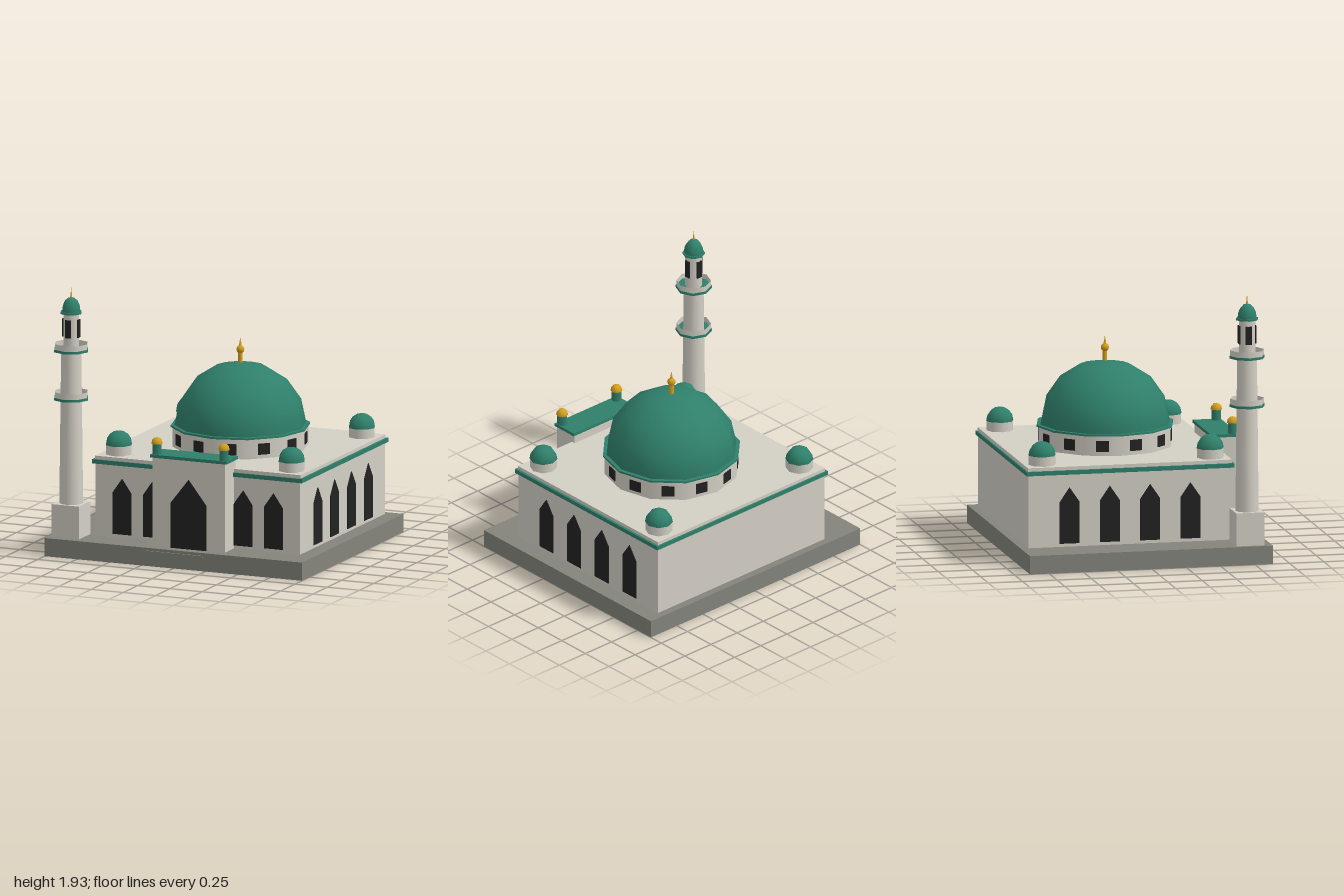
import * as THREE from 'three';

const mat = (name, color, side = THREE.FrontSide) => {
  const m = new THREE.MeshStandardMaterial({ color, side });
  m.name = name;
  return m;
};

export function createModel() {
  const model = new THREE.Group();
  model.name = 'domedHall';
  const stone = mat('paleStone', 0xd3cfc5, THREE.DoubleSide);
  const green = mat('green', 0x2f806b);
  const gold = mat('gold', 0xd4a020, THREE.DoubleSide);
  const dark = mat('darkOpening', 0x222222);
  const grey = mat('greyPlinth', 0x84847c);

  const add = (name, geometry, material, x, y, z, parent = model) => {
    const mesh = new THREE.Mesh(geometry, material);
    mesh.name = name;
    mesh.position.set(x, y, z);
    parent.add(mesh);
    return mesh;
  };
  // Box and cylinder placed by their lower and upper heights
  const box = (name, m, x, z, w, d, y0, y1, parent) =>
    add(name, new THREE.BoxGeometry(w, y1 - y0, d), m, x, (y0 + y1) / 2, z, parent);
  const cyl = (name, m, x, z, rTop, rBottom, y0, y1, sides, parent, open = false) =>
    add(name, new THREE.CylinderGeometry(rTop, rBottom, y1 - y0, sides, 1, open), m, x, (y0 + y1) / 2, z, parent);
  const dome = (name, m, x, z, r, y0, height, sides, rings, parent) => {
    const mesh = add(name, new THREE.SphereGeometry(r, sides, rings, 0, Math.PI * 2, 0, Math.PI / 2), m, x, y0, z, parent);
    mesh.scale.y = height / r;
    return mesh;
  };
  // Thin pointed-arch plate, facing +z before turning
  const arch = (name, halfW, y0, shoulder, apex, x, z, turn = 0) => {
    const s = new THREE.Shape([
      new THREE.Vector2(-halfW, y0), new THREE.Vector2(halfW, y0),
      new THREE.Vector2(halfW, shoulder), new THREE.Vector2(0, apex),
      new THREE.Vector2(-halfW, shoulder),
    ]);
    const g = new THREE.ExtrudeGeometry(s, { depth: 0.006, bevelEnabled: false });
    add(name, g, dark, x, 0, z, model).rotation.y = turn;
  };

  const cx = 0.087, cz = -0.095; // hall centre
  const hallW = 1.59, hallD = 1.48;

  // Plinth and step
  box('plinth', grey, 0, -0.005, 2, 1.77, 0, 0.132);
  box('step', grey, 0, 0.84, 0.465, 0.1, 0.096, 0.112);

  // Hall with cornice and parapet
  box('hall', stone, cx, cz, hallW, hallD, 0.132, 0.655);
  box('cornice', green, cx, cz, hallW + 0.04, hallD + 0.03, 0.655, 0.685);
  box('parapet', stone, cx, cz, hallW + 0.006, hallD + 0.006, 0.685, 0.71);

  // Arched windows on the front and both sides
  for (const dx of [-0.588, -0.353, 0.353, 0.588])
    arch('frontWindow', 0.072, 0.155, 0.457, 0.56, cx + dx, cz + hallD / 2);
  for (const side of [-1, 1])
    for (const dz of [-0.44, -0.147, 0.147, 0.44])
      arch('sideWindow', 0.072, 0.155, 0.455, 0.56, cx + side * hallW / 2, cz + dz, side * Math.PI / 2);

  // Portal with door and two pinnacles
  box('portal', stone, cx, 0.7125, 0.56, 0.185, 0.132, 0.775);
  box('portalCap', green, cx, 0.7125, 0.592, 0.203, 0.775, 0.797);
  arch('door', 0.138, 0.132, 0.46, 0.637, cx, 0.805);
  for (const side of [-1, 1]) {
    const x = cx + side * 0.26;
    cyl('pinnaclePost', green, x, 0.775, 0.035, 0.035, 0.797, 0.872, 8);
    dome('pinnacleCap', gold, x, 0.775, 0.043, 0.872, 0.047, 8, 3);
  }

  // Main drum, windows, dome and finial
  cyl('drum', stone, cx, cz, 0.485, 0.485, 0.71, 0.855, 12);
  for (let i = 0; i < 12; i++) {
    const a = (i + 0.5) * Math.PI / 6, r = 0.47;
    box('drumWindow', dark, cx + Math.sin(a) * r, cz + Math.cos(a) * r, 0.09, 0.009, 0.738, 0.818).rotation.y = a;
  }
  cyl('drumRim', green, cx, cz, 0.497, 0.497, 0.852, 0.866, 12);
  dome('mainDome', green, cx, cz, 0.47, 0.866, 0.449, 12, 4);
  cyl('finialStem', gold, cx, cz, 0.017, 0.017, 1.305, 1.39, 8);
  add('finialBall', new THREE.SphereGeometry(0.03, 8, 6), gold, cx, 1.406, cz);
  cyl('finialSpike', gold, cx, cz, 0, 0.012, 1.425, 1.492, 6);

  // Corner domes
  for (const sx of [-1, 1])
    for (const sz of [-1, 1]) {
      const x = cx + sx * 0.671, z = cz + sz * 0.612;
      cyl('cornerDrum', stone, x, z, 0.097, 0.097, 0.71, 0.78, 8);
      dome('cornerDome', green, x, z, 0.099, 0.778, 0.1, 8, 4);
    }

  // Minaret: pedestal, shaft, two balconies, lantern and cap
  const minaret = new THREE.Group();
  minaret.name = 'minaret';
  minaret.position.set(-0.863, 0, 0.722);
  model.add(minaret);
  box('pedestal', stone, 0, 0, 0.212, 0.205, 0.132, 0.37, minaret);
  cyl('shaft', stone, 0, 0, 0.072, 0.085, 0.37, 1.48, 12, minaret);
  for (const y of [1.122, 1.472]) {
    cyl('balconyFloor', green, 0, 0, 0.129, 0.129, y, y + 0.018, 8, minaret);
    cyl('balconyRail', stone, 0, 0, 0.123, 0.123, y + 0.018, y + 0.058, 8, minaret, true);
  }
  cyl('lantern', stone, 0, 0, 0.06, 0.06, 1.485, 1.75, 8, minaret);
  for (let i = 0; i < 4; i++) {
    const a = i * Math.PI / 2;
    box('lanternWindow', dark, Math.sin(a) * 0.058, Math.cos(a) * 0.058, 0.044, 0.009, 1.575, 1.706, minaret).rotation.y = a;
  }
  cyl('lanternRim', green, 0, 0, 0.08, 0.08, 1.746, 1.76, 8, minaret);
  dome('minaretDome', green, 0, 0, 0.07, 1.758, 0.106, 8, 4, minaret);
  cyl('minaretSpike', gold, 0, 0, 0, 0.008, 1.855, 1.935, 6, minaret);

  return model;
}
